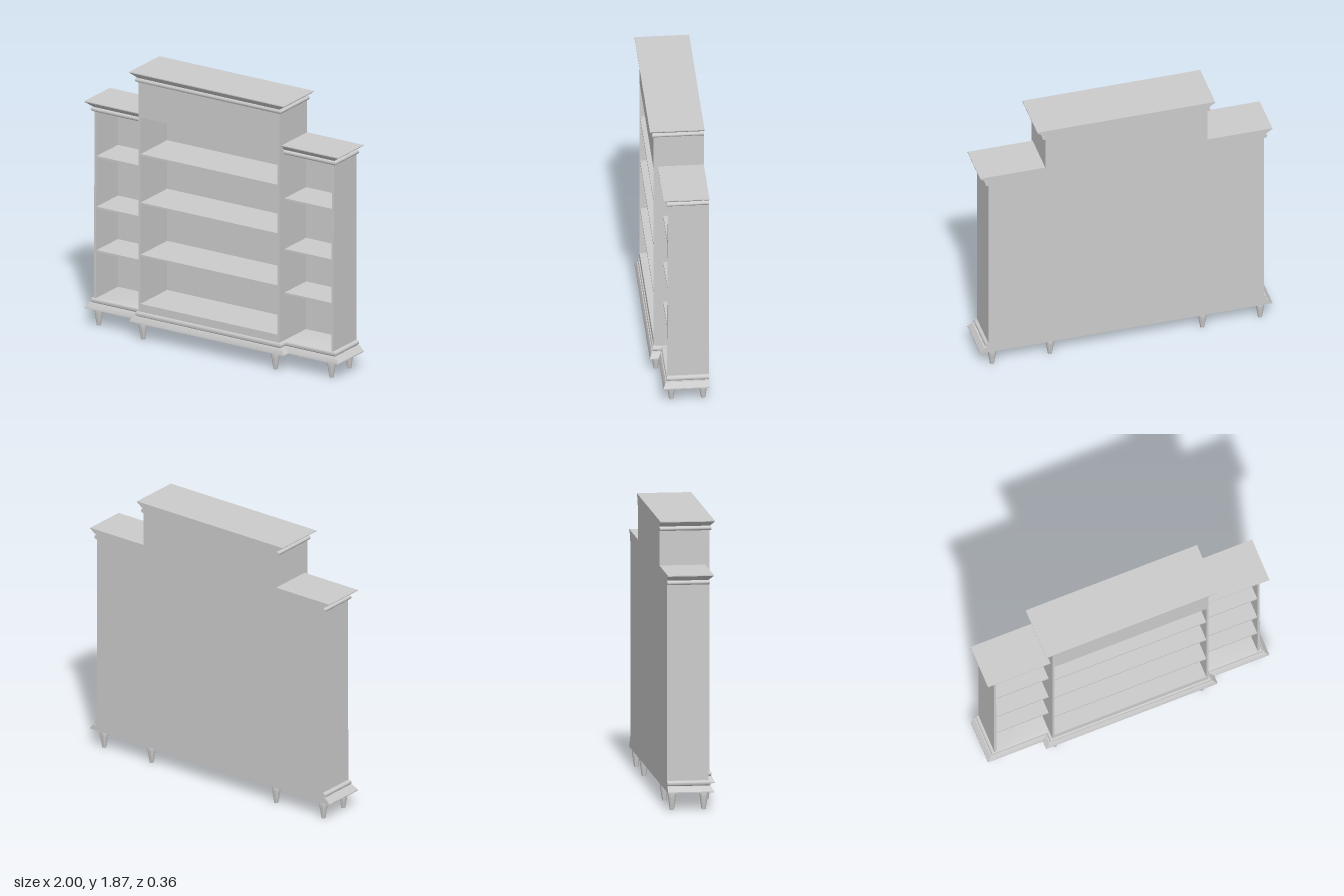
import * as THREE from 'three';
import { toCreasedNormals } from 'three/addons/utils/BufferGeometryUtils.js';

const BACK = -0.18;

export function createModel() {
  const model = new THREE.Group();
  const material = new THREE.MeshStandardMaterial({ color: 0xcccccc });

  const add = (name, geometry) => {
    const mesh = new THREE.Mesh(geometry, material);
    mesh.name = name;
    model.add(mesh);
    return mesh;
  };

  // Box given by its limits on each axis
  const box = (name, x0, x1, y0, y1, z0, z1) => {
    const mesh = add(name, new THREE.BoxGeometry(Math.abs(x1 - x0), y1 - y0, z1 - z0));
    mesh.position.set((x0 + x1) / 2, (y0 + y1) / 2, (z0 + z1) / 2);
  };

  // Stack of rectangles with a flat back; each profile point [t, y] pushes
  // the left, right and front edges out by t times their own overhang
  const stack = (name, profile, { x0, x1, z, out0, out1, outZ }) => {
    const positions = [];
    const index = [];
    for (const [t, y] of profile) {
      const l = x0 - out0 * t, r = x1 + out1 * t, f = z + outZ * t;
      positions.push(l, y, f, r, y, f, r, y, BACK, l, y, BACK);
    }
    for (let i = 0; i < profile.length - 1; i++) {
      for (let k = 0; k < 4; k++) {
        const a = i * 4 + k, b = i * 4 + (k + 1) % 4;
        index.push(a, b, b + 4, a, b + 4, a + 4);
      }
    }
    const top = (profile.length - 1) * 4;
    index.push(0, 2, 1, 0, 3, 2, top, top + 1, top + 2, top, top + 2, top + 3);
    const geometry = new THREE.BufferGeometry();
    geometry.setAttribute('position', new THREE.Float32BufferAttribute(positions, 3));
    geometry.setIndex(index);
    add(name, toCreasedNormals(geometry, 0.6));
  };

  // Half-round bead between two heights
  const bead = (y0, y1) => {
    const points = [];
    for (let i = 0; i <= 8; i++) {
      const a = -Math.PI / 2 + (Math.PI * i) / 8;
      points.push([0.08 + 0.3 * Math.cos(a), (y0 + y1) / 2 + ((y1 - y0) / 2) * Math.sin(a)]);
    }
    return points;
  };
  const crown = (y) => [...bead(y, y + 0.03), [0.15, y + 0.032], [1, y + 0.064], [1, y + 0.07]];
  const base = [[1, 0.12], [1, 0.127], [0.5, 0.16], ...bead(0.16, 0.195)];

  // Centre cabinet
  const centre = { x0: -0.555, x1: 0.555, z: 0.153, out0: 0.054, out1: 0.054, outZ: 0.028 };
  stack('centreBase', base, centre);
  stack('centreCrown', crown(1.8), centre);
  box('centreBottomRail', -0.555, 0.555, 0.195, 0.25, BACK, 0.153);
  box('centreHeader', -0.555, 0.555, 1.555, 1.8, BACK, 0.153);
  box('centreBackPanel', -0.555, 0.555, 0.25, 1.555, BACK, BACK + 0.012);
  for (const y of [0.58, 0.945, 1.285]) {
    box('centreShelf', -0.54, 0.54, y, y + 0.014, BACK + 0.012, 0.15);
  }

  for (const s of [-1, 1]) {
    box('centreSidePanel', s * 0.54, s * 0.555, 0.25, 1.555, BACK, 0.153);

    // Lower side cabinets
    const wing = {
      x0: s > 0 ? 0.545 : -0.944, x1: s > 0 ? 0.944 : -0.545, z: 0.09,
      out0: s > 0 ? 0 : 0.056, out1: s > 0 ? 0.056 : 0, outZ: 0.034,
    };
    stack('wingBase', base, wing);
    stack('wingCrown', crown(1.5), wing);
    box('wingBackPanel', s * 0.55, s * 0.935, 0.19, 1.505, BACK, BACK + 0.012);
    for (const y of [0.515, 0.82, 1.175]) {
      box('wingShelf', s * 0.55, s * 0.932, y, y + 0.014, BACK + 0.012, 0.088);
    }

    // Outer panel, slightly deeper at the foot
    stack('wingSidePanel', [[1, 0.19], [0, 1.505]], {
      x0: s > 0 ? 0.928 : -0.944, x1: s > 0 ? 0.944 : -0.928, z: 0.089, out0: 0, out1: 0, outZ: 0.007,
    });
  }

  // Turned legs
  const legProfile = [[0, 0], [0.014, 0], [0.017, 0.02], [0.023, 0.06], [0.027, 0.09], [0.028, 0.105], [0.026, 0.121]]
    .map(([r, y]) => new THREE.Vector2(r, y));
  const legGeometry = toCreasedNormals(new THREE.LatheGeometry(legProfile, 20), 0.7);
  for (const [x, front] of [[-0.925, 0.066], [-0.53, 0.135], [0.514, 0.135], [0.91, 0.066]]) {
    add('frontLeg', legGeometry).position.set(x, 0, front);
    add('backLeg', legGeometry).position.set(x, 0, -0.145);
  }

  return model;
}
